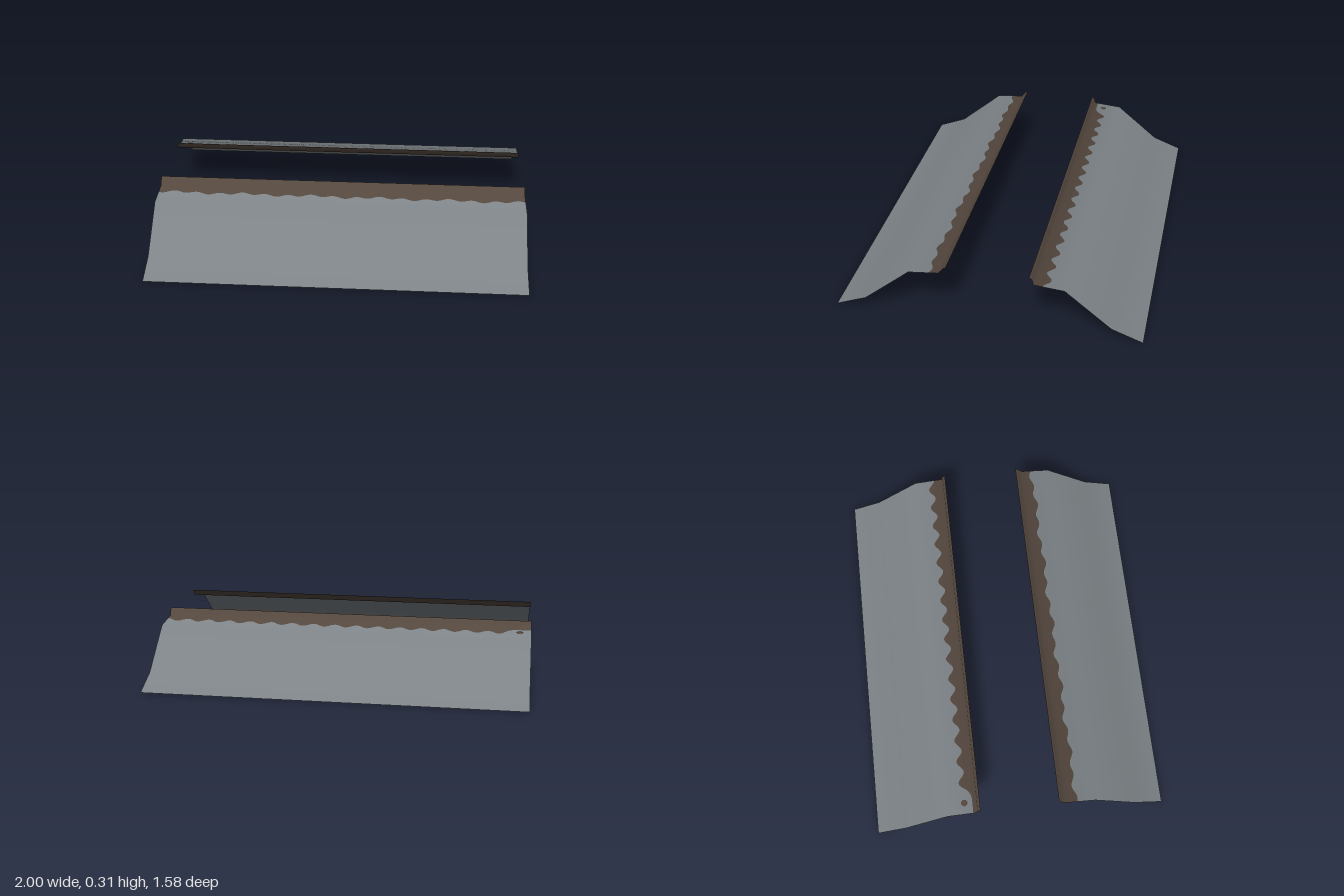
import * as THREE from 'three';

const stone = new THREE.MeshStandardMaterial({ color: 0x7d8387, side: THREE.DoubleSide });
stone.name = 'grey stone';
const earth = new THREE.MeshStandardMaterial({ color: 0x54473e, side: THREE.DoubleSide });
earth.name = 'brown earth';

// Cross-section [z, y] from the outer foot up to the inner lip
const makeProfile = (lip) => [
  [0.79, 0], [0.632, 0.06], [0.395, 0.255], [0.24, 0.27], [0.215 + lip, 0.3], [0.2 + lip, 0.31],
];
const SHELF = 2; // the segment on which the two colours meet
const COLUMNS = 240;

// Smooth outward normals of the cross-section
function profileNormals(profile) {
  const faces = profile.slice(1).map(([z, y], i) => {
    const dz = z - profile[i][0], dy = y - profile[i][1];
    return new THREE.Vector2(dy, -dz).normalize();
  });
  return profile.map((_, i) => {
    const a = faces[Math.max(i - 1, 0)], b = faces[Math.min(i, faces.length - 1)];
    return a.clone().add(b).normalize();
  });
}

// One sloping bank; edge(x) gives z of the ragged border between stone and earth
function makeBank(name, lip, edge) {
  const profile = makeProfile(lip);
  const normals = profileNormals(profile);
  const rows = profile.length + 1;
  const pos = [], nor = [], index = [];
  for (let i = 0; i <= COLUMNS; i++) {
    const x = -1 + (2 * i) / COLUMNS;
    for (let r = 0; r < rows; r++) {
      let z, y, n;
      if (r === SHELF + 1) {
        const [p, q] = [profile[SHELF], profile[SHELF + 1]];
        z = edge(x);
        const t = (z - p[0]) / (q[0] - p[0]);
        y = p[1] + t * (q[1] - p[1]);
        n = normals[SHELF].clone().lerp(normals[SHELF + 1], t).normalize();
      } else {
        const k = r <= SHELF ? r : r - 1;
        [z, y] = profile[k];
        n = normals[k];
      }
      pos.push(x, y, z);
      nor.push(0, n.y, n.x);
    }
  }
  const geometry = new THREE.BufferGeometry();
  for (let r = 0; r < rows - 1; r++) {
    for (let i = 0; i < COLUMNS; i++) {
      const a = i * rows + r, b = a + rows;
      index.push(a, b, b + 1, a, b + 1, a + 1);
    }
    geometry.addGroup(r * COLUMNS * 6, COLUMNS * 6, r <= SHELF ? 0 : 1);
  }
  geometry.setAttribute('position', new THREE.Float32BufferAttribute(pos, 3));
  geometry.setAttribute('normal', new THREE.Float32BufferAttribute(nor, 3));
  geometry.setIndex(index);
  const mesh = new THREE.Mesh(geometry, [stone, earth]);
  mesh.name = name;
  return mesh;
}

export function createModel() {
  const group = new THREE.Group();
  group.name = 'embankment';

  // Front bank with a gently ragged border
  const frontEdge = (x) =>
    0.295 + 0.009 * Math.cos((2 * Math.PI * (x + 0.1)) / 0.125) + 0.006 * Math.sin(x * 17 + 1);
  group.add(makeBank('frontBank', 0, frontEdge));

  // Rear bank, turned round, with rounded scallops that fade out at one end
  const rearEdge = (x) => {
    const scallop = 0.302 + 0.017 * Math.cos((2 * Math.PI * (x + 0.005)) / 0.118);
    return THREE.MathUtils.lerp(0.257, scallop, THREE.MathUtils.smoothstep(x, -0.92, -0.84));
  };
  const rear = makeBank('rearBank', 0.018, (x) => rearEdge(-x));
  rear.rotation.y = Math.PI;
  group.add(rear);

  // Loose patch of earth beside the scallops
  const patch = new THREE.Mesh(new THREE.CircleGeometry(0.018, 10), earth);
  patch.name = 'earthPatch';
  patch.rotation.x = -Math.PI / 2 - 0.1;
  patch.position.set(-0.94, 0.267, -0.3);
  group.add(patch);

  return group;
}
